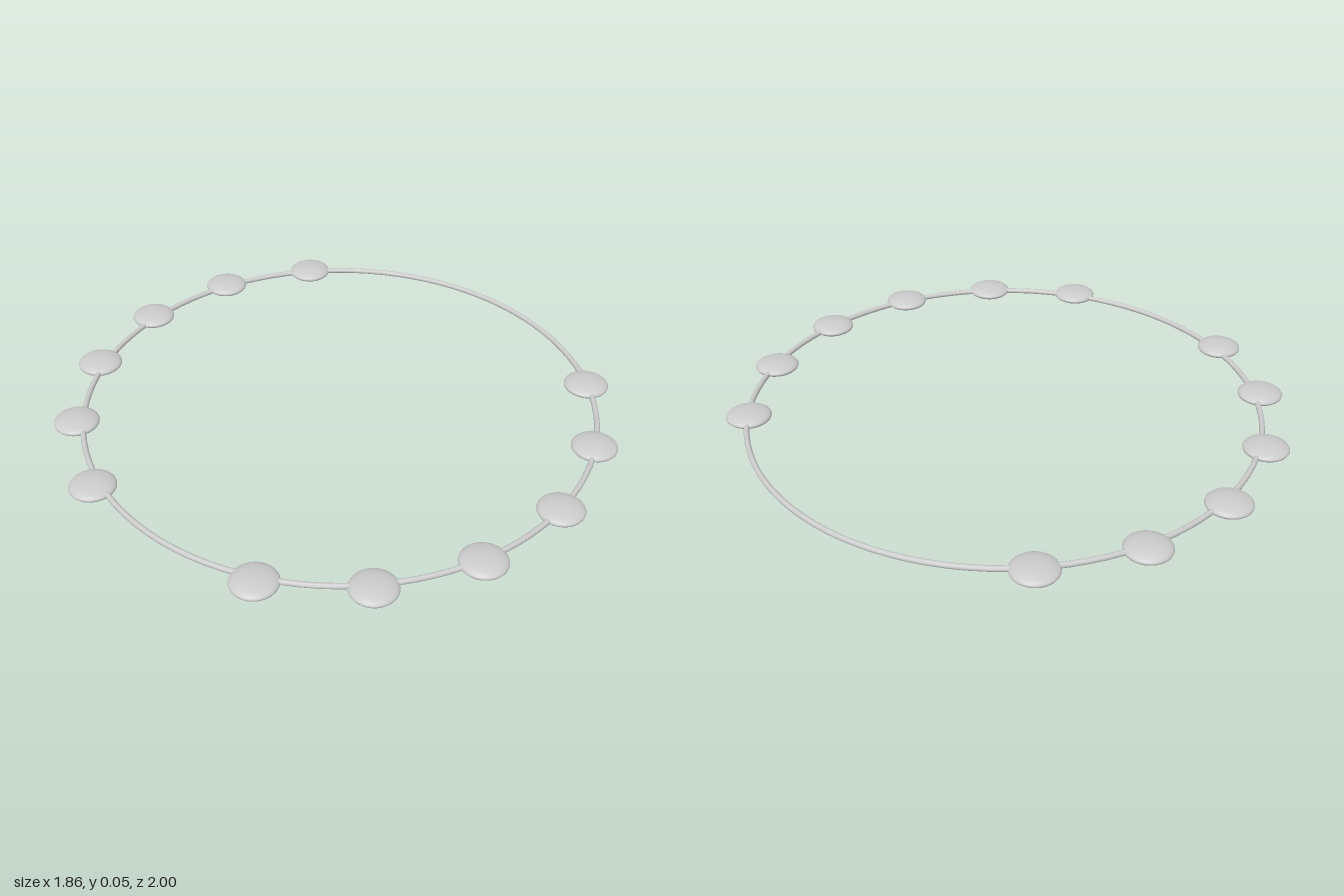
import * as THREE from 'three';

const BEAD_R = 0.08, BEAD_H = 0.023;

export function createModel() {
  const model = new THREE.Group();
  model.name = 'beadedRing';
  const material = new THREE.MeshStandardMaterial({ color: 0xcccccc });

  // Thin wire hoop lying flat, set slightly off the bead circle
  const hoop = new THREE.Mesh(new THREE.TorusGeometry(0.911, 0.01, 12, 96), material);
  hoop.name = 'hoop';
  hoop.rotation.x = Math.PI / 2;
  hoop.position.set(0.009, BEAD_H, 0.008);
  model.add(hoop);

  // Flattened beads: [x, z], the second half mirrored front to back
  const beadGeometry = new THREE.SphereGeometry(BEAD_R, 40, 24);
  beadGeometry.scale(1, BEAD_H / BEAD_R, 1);
  const spots = [[0.648, 0.652], [0.348, 0.85], [-0.003, 0.92], [-0.354, 0.85], [-0.652, 0.652], [-0.853, 0.353]];
  for (const side of [1, -1]) {
    spots.forEach(([x, z], i) => {
      const bead = new THREE.Mesh(beadGeometry, material);
      bead.name = `${side > 0 ? 'front' : 'back'}Bead${i + 1}`;
      bead.position.set(x, BEAD_H, side * z);
      model.add(bead);
    });
  }
  return model;
}
